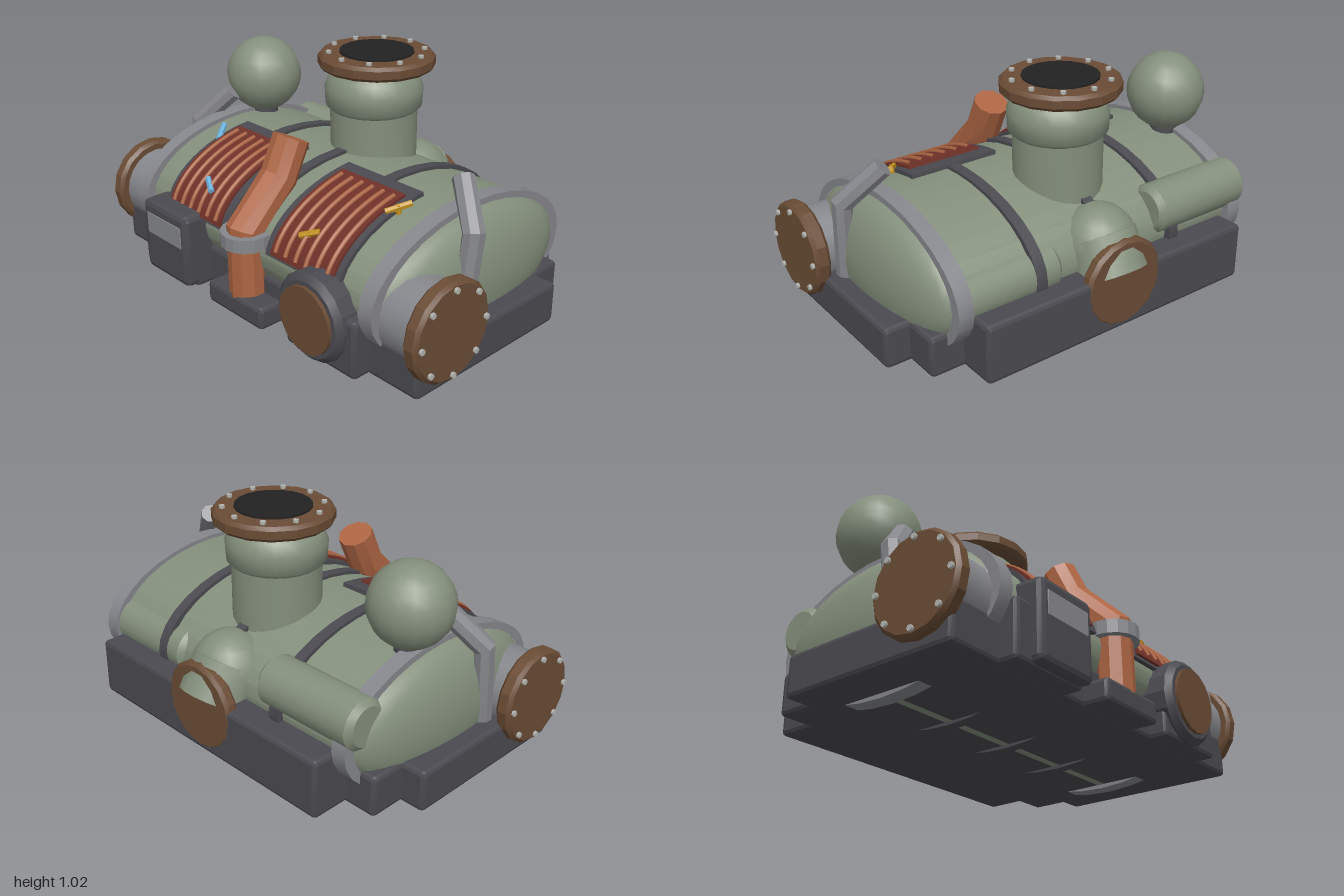
import * as THREE from 'three';
import { toCreasedNormals } from 'three/addons/utils/BufferGeometryUtils.js';
import { RoundedBoxGeometry } from 'three/addons/geometries/RoundedBoxGeometry.js';

const mat = (name, color) => new THREE.MeshStandardMaterial({ name, color });
const V = (x, y, z) => new THREE.Vector3(x, y, z);

export function createModel() {
  const green = mat('sage green', 0x848f7c), grey = mat('steel grey', 0x86878c);
  const dark = mat('dark iron', 0x4a4a50), brown = mat('bronze brown', 0x6a4c35);
  const copper = mat('copper', 0xad6543), red = mat('dark red', 0x6f3128);
  const black = mat('black', 0x222222), pale = mat('bolt grey', 0xb4b4b0);
  const blue = mat('blue', 0x6fb2dc), yellow = mat('yellow', 0xc4931c);

  const model = new THREE.Group();
  model.name = 'pressureVessel';
  const add = (name, geo, material, pos = [0, 0, 0], parent = model) => {
    const m = new THREE.Mesh(geo, material);
    m.name = name;
    m.position.set(...pos);
    parent.add(m);
    return m;
  };
  const lathe = (pts, seg, crease = 0.5) =>
    toCreasedNormals(new THREE.LatheGeometry(pts.map(p => new THREE.Vector2(...p)), seg), crease);
  // Chamfered box given by its extents
  const block = (name, x0, x1, y0, y1, z0, z1, material = dark, c = 0.018) =>
    add(name, toCreasedNormals(new RoundedBoxGeometry(x1 - x0, y1 - y0, z1 - z0, 1, c), 0.3),
      material, [(x0 + x1) / 2, (y0 + y1) / 2, (z0 + z1) / 2]);
  // Capped tube through straight segments, with a sharp elbow at each inner point
  const pipe = (name, pts, r, sides, material) => {
    const dirs = pts.slice(1).map((p, i) => p.clone().sub(pts[i]).normalize());
    const side = V(1, 0, 0);
    if (Math.abs(dirs[0].x) > 0.9) side.set(0, 0, 1);
    const pos = [], idx = [];
    pts.forEach((p, i) => {
      const a = dirs[Math.max(i - 1, 0)], b = dirs[Math.min(i, dirs.length - 1)];
      const t = a.clone().add(b).normalize(), stretch = 1 / t.dot(a);
      const u = side.clone().addScaledVector(t, -side.dot(t)).normalize();
      const w = t.clone().cross(u).multiplyScalar(stretch);
      for (let k = 0; k < sides; k++) {
        const q = (k + 0.5) / sides * Math.PI * 2;
        pos.push(...p.clone().addScaledVector(u, r * Math.cos(q)).addScaledVector(w, r * Math.sin(q)));
        const k2 = (k + 1) % sides, s = i * sides;
        if (i < pts.length - 1) idx.push(s + k, s + k2, s + sides + k2, s + k, s + sides + k2, s + sides + k);
      }
    });
    const last = (pts.length - 1) * sides;
    for (let k = 1; k < sides - 1; k++) idx.push(0, k + 1, k, last, last + k, last + k + 1);
    const g = new THREE.BufferGeometry();
    g.setAttribute('position', new THREE.Float32BufferAttribute(pos, 3));
    g.setIndex(idx);
    return add(name, toCreasedNormals(g, sides > 10 ? 0.7 : 0.3), material);
  };
  // Bevelled round flange along +y with a ring of bolts
  const flange = (name, r, h, bolts, boltR, offset) => {
    const g = new THREE.Group();
    g.name = name;
    add('flangeDisc', lathe([[0, 0], [r - 0.015, 0], [r, 0.015], [r, h - 0.015], [r - 0.015, h], [0, h]], 16, 0.3),
      brown, [0, 0, 0], g);
    for (let i = 0; i < bolts; i++) {
      const a = (i + offset) / bolts * Math.PI * 2;
      add('bolt', new THREE.CylinderGeometry(0.013, 0.013, 0.024, 6), pale,
        [boltR * Math.cos(a), h, boltR * Math.sin(a)], g);
    }
    model.add(g);
    return g;
  };

  // Oval vessel lying along x, with domed ends
  const CY = 0.305, CZ = 0.025, B = 0.288, A = 0.535;
  const oval = (name, profile, b, a, material) =>
    add(name, lathe(profile, 32, 0.6).rotateZ(-Math.PI / 2).scale(1, b, a), material, [0, CY, CZ]);
  const shell = [];
  for (let i = 0; i <= 8; i++) {
    const t = i / 8 * Math.PI / 2;
    shell.push([Math.sin(t), -0.73 - 0.15 * Math.cos(t)]);
  }
  oval('vesselShell', [...shell, ...shell.map(([r, y]) => [r, -y]).reverse()], B, A, green);
  const hoop = (name, x, w, grow, material) => {
    const k = 1 + grow / B;
    oval(name, [[0.97, x - w / 2], [k, x - w / 2], [k, x + w / 2], [0.97, x + w / 2]], B, A + grow * 0.3, material);
  };
  for (const x of [-0.36, 0, 0.36]) hoop('strap', x, 0.05, 0.014, dark);
  for (const x of [-0.73, 0.73]) hoop('endBand', x, 0.07, 0.018, grey);

  // Stepped base
  block('baseMain', -0.95, 0.95, 0.018, 0.2, -0.3, 0.54);
  block('baseRearStep', -0.84, 0.84, 0.018, 0.2, -0.46, -0.2);
  block('baseRear', -0.69, 0.69, 0.018, 0.28, -0.63, -0.42);
  block('baseFrontFoot', -0.18, 0.18, 0.02, 0.12, 0.45, 0.65);
  for (const s of [-1, 1]) block('baseFrontBlock', s * 0.5 - 0.2, s * 0.5 + 0.2, 0.02, 0.27, 0.45, 0.62);

  // Control box on the front
  block('controlBox', -0.62, -0.3, 0.03, 0.37, 0.45, 0.67, dark, 0.025);
  block('controlScreen', -0.585, -0.335, 0.215, 0.315, 0.665, 0.674, grey, 0.002);

  // Round port on the front
  add('portHousing', lathe([[0, 0], [0.19, 0], [0.19, 0.13], [0.165, 0.155], [0, 0.155]], 16, 0.3)
    .rotateX(Math.PI / 2), dark, [0.47, 0.21, 0.5]);
  add('portCover', new THREE.CylinderGeometry(0.145, 0.145, 0.02, 16).rotateX(Math.PI / 2), brown, [0.47, 0.21, 0.66]);

  // Side inlets and bent grey pipes
  for (const s of [-1, 1]) {
    add('sidePipe', new THREE.CylinderGeometry(0.17, 0.17, 0.26, 20).rotateZ(Math.PI / 2), grey, [s * 0.81, 0.27, 0.39]);
    const f = flange('sideFlange', 0.212, 0.07, 8, 0.18, 0);
    f.position.set(s * 0.918, 0.27, 0.39);
    f.rotation.z = -s * Math.PI / 2;
    pipe('bentPipe', [V(s * 0.85, 0.2, 0.185), V(s * 0.865, 0.55, 0.15), V(s * 0.72, 0.71, 0.055)], 0.046, 8, grey);
  }

  // Top nozzle
  add('topNozzle', lathe([[0.195, 0.45], [0.195, 0.76], [0.216, 0.78], [0.22, 0.86], [0.2, 0.91], [0.15, 0.96]], 24, 0.8),
    green, [0, 0, -0.175]);
  flange('topFlange', 0.26, 0.065, 10, 0.213, 0.5).position.set(0, 0.945, -0.19);
  add('topOpening', new THREE.CylinderGeometry(0.165, 0.165, 0.009, 20), black, [0, 1.014, -0.19]);

  // Ball tank on a short neck
  add('ballNeck', new THREE.CylinderGeometry(0.06, 0.07, 0.14, 12), dark, [-0.69, 0.56, -0.11]);
  add('ballTank', new THREE.SphereGeometry(0.18, 16, 12), green, [-0.69, 0.77, -0.11]);

  // Rear cylinders
  const tank = (name, x, y, z) => add(name,
    lathe([[0, -0.26], [0.085, -0.26], [0.11, -0.235], [0.11, 0.235], [0.085, 0.26], [0, 0.26]], 20, 0.5)
      .rotateZ(-Math.PI / 2), green, [x, y, z]);
  tank('rearTank', -0.53, 0.41, -0.45);
  tank('rearTankSmall', 0.5, 0.32, -0.425);

  // Rear elbow and flange
  add('rearElbow', new THREE.SphereGeometry(0.17, 18, 12), green, [0, 0.35, -0.45]);
  pipe('rearElbowOutlet', [V(0, 0.38, -0.456), V(0, 0.23, -0.544)], 0.16, 16, green);
  const rearFlange = flange('rearFlange', 0.2, 0.06, 0, 0, 0);
  rearFlange.position.set(0, 0.23, -0.573);
  rearFlange.rotation.x = -Math.PI / 2;

  // Copper pipe and its collar
  pipe('copperPipe', [V(0, 0.09, 0.57), V(0, 0.4, 0.57), V(0, 0.585, 0.385), V(0, 0.74, 0.312)], 0.08, 10, copper);
  add('pipeCollar', lathe([[0.075, 0.34], [0.112, 0.34], [0.112, 0.4], [0.075, 0.4]], 16, 0.3), grey, [0, 0, 0.565]);

  // Heating panels that follow the vessel, with raised coils
  const onOval = (t, o) => [CZ + (A + o) * Math.sin(t), CY + (B + o) * Math.cos(t)];
  const curvedPlate = (name, x0, x1, t0, t1, o, material) => {
    const pts = [];
    for (let i = 0; i <= 14; i++) pts.push(onOval(t0 + (t1 - t0) * i / 14, o));
    for (let i = 14; i >= 0; i--) pts.push(onOval(t0 + (t1 - t0) * i / 14, -0.01));
    const shape = new THREE.Shape(pts.map(([z, y]) => new THREE.Vector2(-z, y)));
    const g = new THREE.ExtrudeGeometry(shape, { depth: x1 - x0, bevelEnabled: false }).rotateY(Math.PI / 2);
    add(name, toCreasedNormals(g, 0.5), material, [x0, 0, 0]);
  };
  for (const s of [-1, 1]) {
    const c = s * 0.345;
    curvedPlate('panelFrame', c - 0.215, c + 0.215, 0.14, 1.47, 0.018, dark);
    const p = c + (s < 0 ? -0.005 : 0.005);
    curvedPlate('heatingPanel', p - 0.18, p + 0.18, 0.27, 1.42, 0.03, red);
    for (let i = 0; i < 6; i++) {
      const x = p + (i - 2.5) * 0.06, pts = [];
      for (let k = 0; k <= 8; k++) {
        const [z, y] = onOval(0.33 + k / 8 * 1.03, 0.031);
        pts.push(V(x, y, z));
      }
      add('coil', new THREE.TubeGeometry(new THREE.CatmullRomCurve3(pts), 14, 0.01, 6), copper);
    }
    // Valve levers
    const paint = s < 0 ? blue : yellow;
    const lever = (a, b) => {
      const m = pipe('valveLever', [V(...a), V(...b)], 0.014, 6, paint);
      add('valveHub', new THREE.CylinderGeometry(0.012, 0.012, 0.06, 6), paint,
        [(a[0] + b[0]) / 2, (a[1] + b[1]) / 2 - 0.02, (a[2] + b[2]) / 2], m);
    };
    lever([s * 0.6, 0.608, 0.21], [s * 0.535, 0.575, 0.295]);
    lever([s * 0.365, 0.49, 0.485], [s * 0.29, 0.462, 0.525]);
  }
  return model;
}
